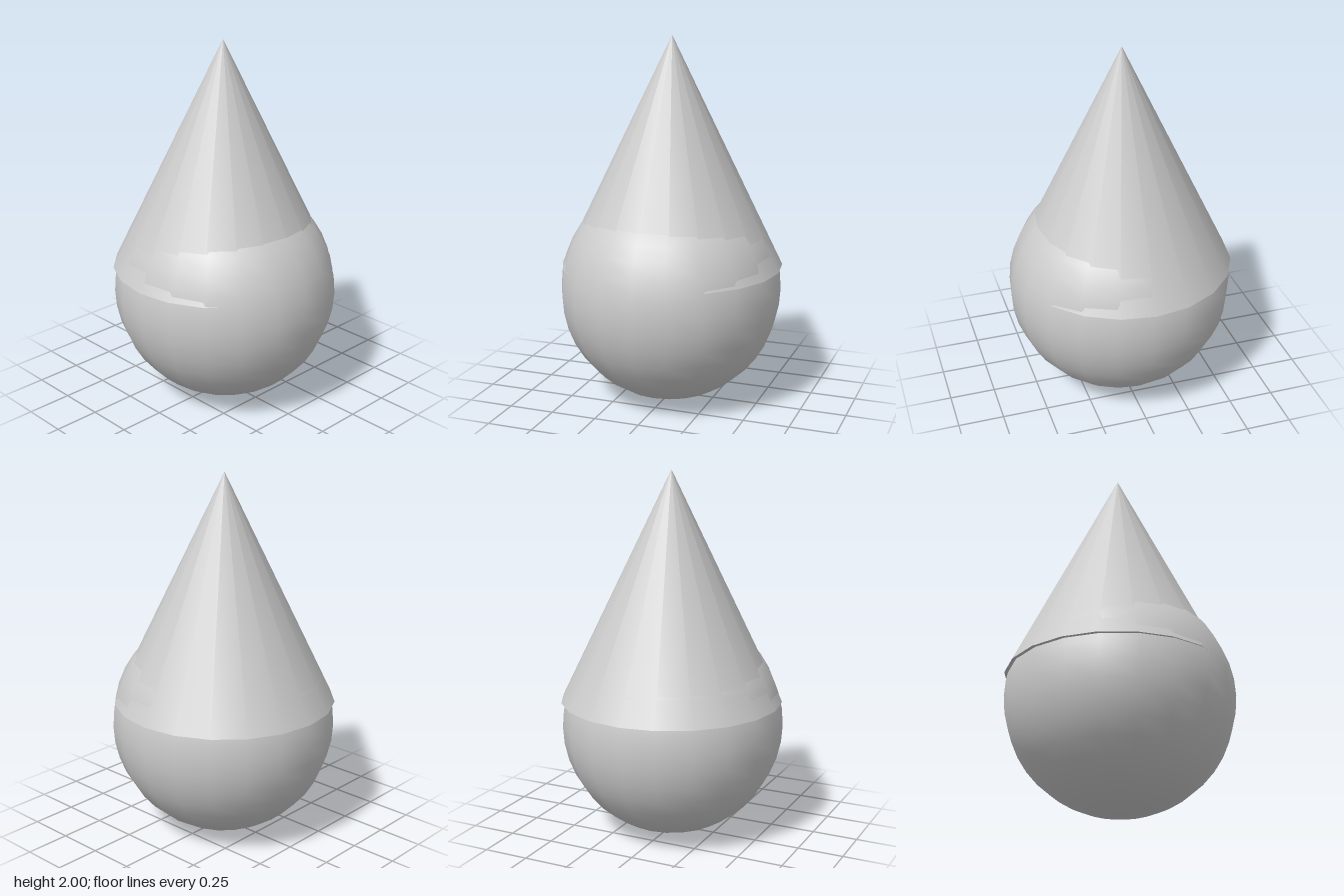
import * as THREE from 'three';

export function createModel() {
  const model = new THREE.Group();
  model.name = 'teardrop';
  const material = new THREE.MeshStandardMaterial({ color: 0xcccccc });
  const sides = 20;

  // Round body, slightly narrower from front to back
  const body = new THREE.Mesh(new THREE.SphereGeometry(0.617, sides, sides), material);
  body.name = 'roundBody';
  body.scale.z = 0.981;
  body.position.y = 0.62;
  model.add(body);

  // Pointed top, set a little off centre so its rim overhangs on one side
  const baseY = 0.755, height = 2 - baseY;
  const tip = new THREE.Mesh(new THREE.ConeGeometry(0.606, height, sides), material);
  tip.name = 'pointedTop';
  tip.position.set(-0.014, baseY + height / 2, -0.002);
  model.add(tip);

  return model;
}
